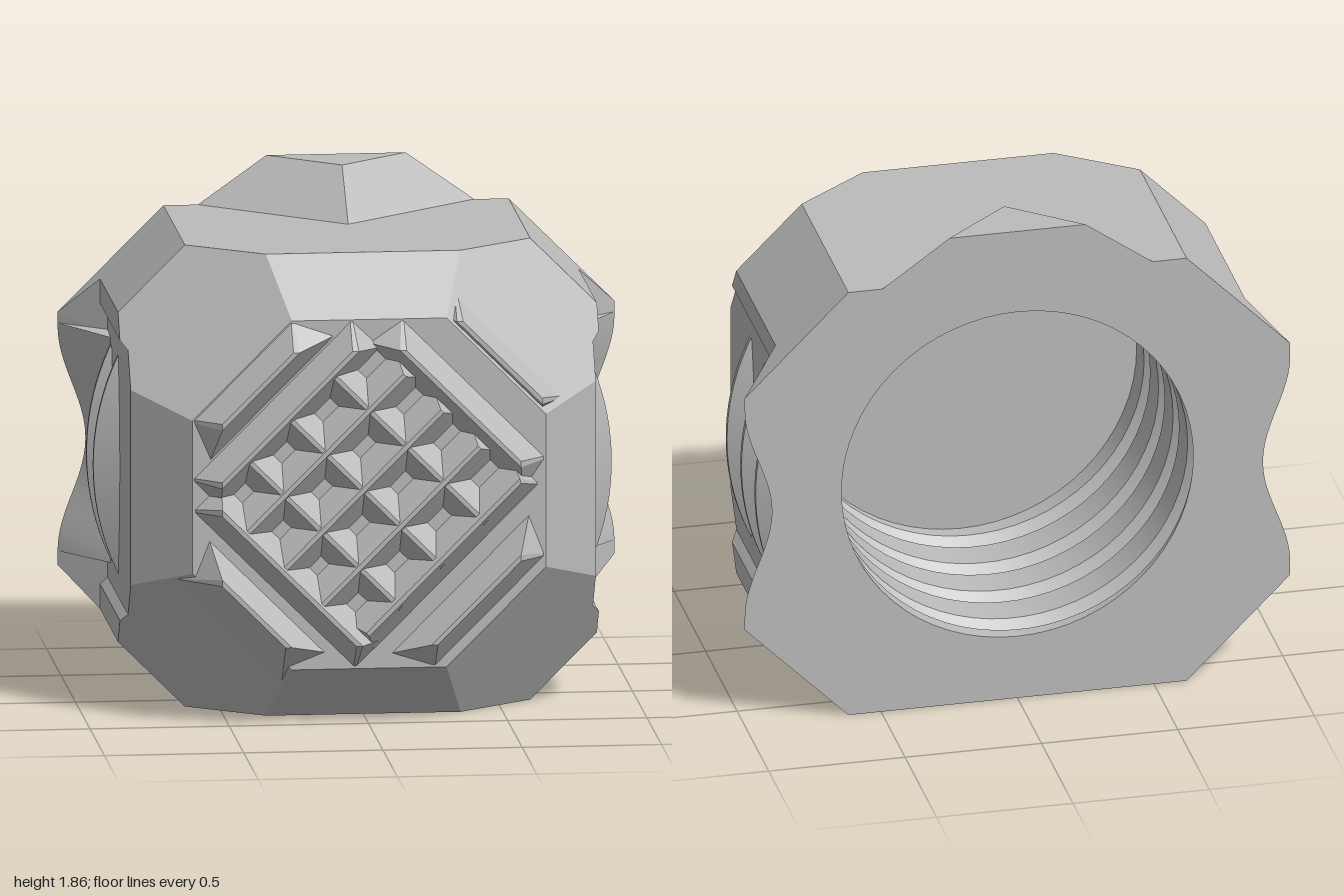
import * as THREE from 'three';
import { toCreasedNormals } from 'three/addons/utils/BufferGeometryUtils.js';
import { ConvexGeometry } from 'three/addons/geometries/ConvexGeometry.js';

const BACK = -0.62, HOLE = 0.645, HOLE_Y = 0.05, PITCH = 0.23;
const V = (x, y, z) => new THREE.Vector3(x, y, z);

// Skins a list of loops (arrays of Vector3) with triangles
function loft(loops, { closed = true, flip = false } = {}) {
  const pos = [];
  const tri = (a, b, c) => {
    const area = b.clone().sub(a).cross(c.clone().sub(a)).length();
    if (area < 1e-8) return;
    for (const p of flip ? [a, c, b] : [a, b, c]) pos.push(p.x, p.y, p.z);
  };
  for (let i = 0; i < loops.length - 1; i++) {
    const n = loops[i].length;
    for (let j = 0; j < (closed ? n : n - 1); j++) {
      const k = (j + 1) % n;
      tri(loops[i][j], loops[i][k], loops[i + 1][k]);
      tri(loops[i][j], loops[i + 1][k], loops[i + 1][j]);
    }
  }
  const g = new THREE.BufferGeometry();
  g.setAttribute('position', new THREE.Float32BufferAttribute(pos, 3));
  g.computeVertexNormals();
  return g;
}

// Octagon with half sizes hx, hy and corners cut along |x| + |y| = c
function octagon(z, hx, hy, c) {
  const q = [[hx, c - hx], [c - hy, hy]];
  const pts = [...q, ...q.map(([x, y]) => [-x, y]).reverse(),
    ...q.map(([x, y]) => [-x, -y]), ...q.map(([x, y]) => [x, -y]).reverse()];
  return pts.map(([x, y]) => V(x, y, z));
}

// Outer edge of the rear flare at height y, scooped in the middle
function flareEdge(y) {
  const a = Math.abs(y);
  if (a > 0.41) return Math.min(1, 1.46 - a);
  return 1 - 0.05 * (1 + Math.cos((Math.PI * a) / 0.41));
}

export function createModel() {
  const grey = new THREE.MeshStandardMaterial({ color: 0xbbbbbb });
  grey.name = 'plain grey';
  const root = new THREE.Group();
  const block = new THREE.Group();
  block.name = 'block';
  block.position.y = 0.84;
  root.add(block);
  const add = (name, geometry, parent = block) => {
    const m = new THREE.Mesh(geometry, grey);
    m.name = name;
    parent.add(m);
  };

  // Octagonal body with bevelled front
  const front = octagon(0.525, 0.635, 0.635, 0.913);
  add('body', loft([
    octagon(BACK, 0.835, 0.84, 1.46), octagon(0.12, 0.835, 0.84, 1.46),
    octagon(0.32, 0.835, 0.84, 1.19), front, front.map(() => V(0, 0, 0.525)),
  ]));

  // Raised strips above and below each side panel
  for (const s of [1, -1]) for (const t of [1, -1]) {
    const pts = [];
    for (const [x, y] of [[0.86, 0.6], [0.86, 0.51], [0.83, 0.475], [0.8, 0.6], [0.835, 0.625]]) {
      pts.push(V(s * x, t * y, BACK + 0.002), V(s * x, t * y, (1.622 - x - y) / 1.35));
    }
    add('sideStrip', new ConvexGeometry(pts));
  }

  // Scooped flares at the rear of both sides
  const ys = [-0.625, -0.6, -0.53, -0.46, -0.42];
  for (let i = 0; i <= 24; i++) ys.push(-0.41 + (0.82 * i) / 24);
  ys.push(0.42, 0.46, 0.53, 0.6, 0.625);
  for (const s of [1, -1]) {
    const rows = ys.map((y) => {
      const f = flareEdge(y), a = Math.abs(y);
      const scoop = a < 0.411;
      const start = scoop ? -0.5 + 0.12 * (a / 0.41) ** 2 : -0.48;
      const zm = scoop ? BACK : Math.max(BACK, -0.48 - (f - 0.835) / 1.17);
      return [V(s * 0.835, y, start), V(s * f, y, zm), V(s * f, y, BACK)];
    });
    add('rearFlare', toCreasedNormals(loft(rows, { closed: false, flip: s < 0 }), 0.4));
  }

  // Back face with the round opening
  const outline = [];
  for (const y of ys) outline.push(new THREE.Vector2(flareEdge(y), y));
  outline.push(new THREE.Vector2(0.62, 0.84), new THREE.Vector2(-0.62, 0.84));
  for (const y of [...ys].reverse()) outline.push(new THREE.Vector2(-flareEdge(y), y));
  outline.push(new THREE.Vector2(-0.62, -0.84), new THREE.Vector2(0.62, -0.84));
  const backShape = new THREE.Shape(outline);
  backShape.holes.push(new THREE.Path().absarc(0, HOLE_Y, HOLE, 0, Math.PI * 2, true));
  add('backFace', new THREE.ShapeGeometry(backShape, 32).rotateY(Math.PI).translate(0, 0, BACK));

  // Threaded bore: a narrow helical groove in the inner wall
  const END = 0.28, SEG = 64, loops = [];
  const profile = [[0.49, 0], [0.65, 0.055], [0.74, 0.055], [0.9, 0]];
  for (let turn = -2; turn < 6; turn++) for (const [phase, h] of profile) {
    const ring = [];
    for (let j = 0; j <= SEG; j++) {
      const a = (j / SEG) * Math.PI * 2;
      const raw = BACK + (turn + phase + j / SEG) * PITCH;
      const z = THREE.MathUtils.clamp(raw, BACK, END);
      const r = HOLE + h * THREE.MathUtils.smoothstep(z, BACK, BACK + 0.06);
      ring.push(V(r * Math.cos(a), HOLE_Y + r * Math.sin(a), z));
    }
    loops.push(ring);
  }
  add('threadedBore', toCreasedNormals(loft(loops, { closed: false, flip: true }), 0.5));
  add('boreEnd', new THREE.CircleGeometry(HOLE + 0.06, SEG).rotateY(Math.PI).translate(0, HOLE_Y, END));

  // Lens-shaped thread ridges breaking through the side panels
  const ridge = [[0.8, -0.082], [0.925, -0.01], [0.925, 0.01], [0.8, 0.082]]
    .map(([r, z]) => new THREE.Vector2(r, z));
  for (const [angle, zs] of [[Math.PI / 2, [-0.005, -0.235, -0.46]], [Math.PI * 1.5, [-0.12, -0.35]]]) {
    for (const z of zs) {
      const g = new THREE.LatheGeometry(ridge, 20, angle - 0.46, 0.92);
      g.rotateX(Math.PI / 2).translate(0, 0, z);
      add('sideThread', toCreasedNormals(g, 0.4));
    }
  }

  // Diagonal waffle of wedge bars on the front, ends trimmed to the bevel
  const waffle = new THREE.Group();
  waffle.name = 'frontWaffle';
  waffle.rotation.z = Math.PI / 4;
  block.add(waffle);
  const wedge = (name, along, offset, from, to, w, crest, depth) => {
    const pts = [];
    for (const [o, z, extra] of [
      [offset - w, crest - depth, 0.05], [offset + w, crest - depth, 0.05],
      [offset - 0.008, crest, 0], [offset + 0.008, crest, 0],
    ]) {
      const reach = Math.SQRT2 * (1.16 - z) - Math.abs(o) - 0.012;
      for (const l of [Math.max(from - extra, -reach), Math.min(to + extra, reach)]) {
        pts.push(along === 'u' ? V(l, o, z) : V(o, l, z));
      }
    }
    add(name, new ConvexGeometry(pts), waffle);
  };
  // long outer bars
  for (const [along, offset, from, to] of [
    ['u', 0.57, -0.34, 0.36], ['u', 0.42, -0.4, 0.4], ['u', -0.34, -0.36, 0.42], ['u', -0.54, -0.4, 0.38],
    ['v', -0.59, -0.33, 0.33], ['v', -0.41, -0.4, 0.4], ['v', 0.46, -0.4, 0.4],
  ]) wedge('outerBar', along, offset, from, to, 0.12, 0.615, 0.16);
  wedge('cornerBar', 'v', 0.67, -0.26, 0.26, 0.09, 0.53, 0.16);
  // inner crossing bars
  for (const o of [-0.15, 0.04, 0.23]) wedge('innerBar', 'u', o, -0.4, 0.4, 0.1, 0.605, 0.11);
  for (const o of [-0.21, 0, 0.22]) wedge('innerBar', 'v', o, -0.36, 0.4, 0.1, 0.6, 0.11);

  // Arrow wedge on the top, pointing forward
  const tri = (y, hw, tip) => [V(-hw, y, BACK), V(0, y, tip), V(hw, y, BACK)];
  add('topArrow', new ConvexGeometry([
    ...tri(1.67, 0.51, -0.19), ...tri(1.84, 0.25, -0.41), ...tri(1.855, 0.25, -0.41),
  ]), root);

  return root;
}
